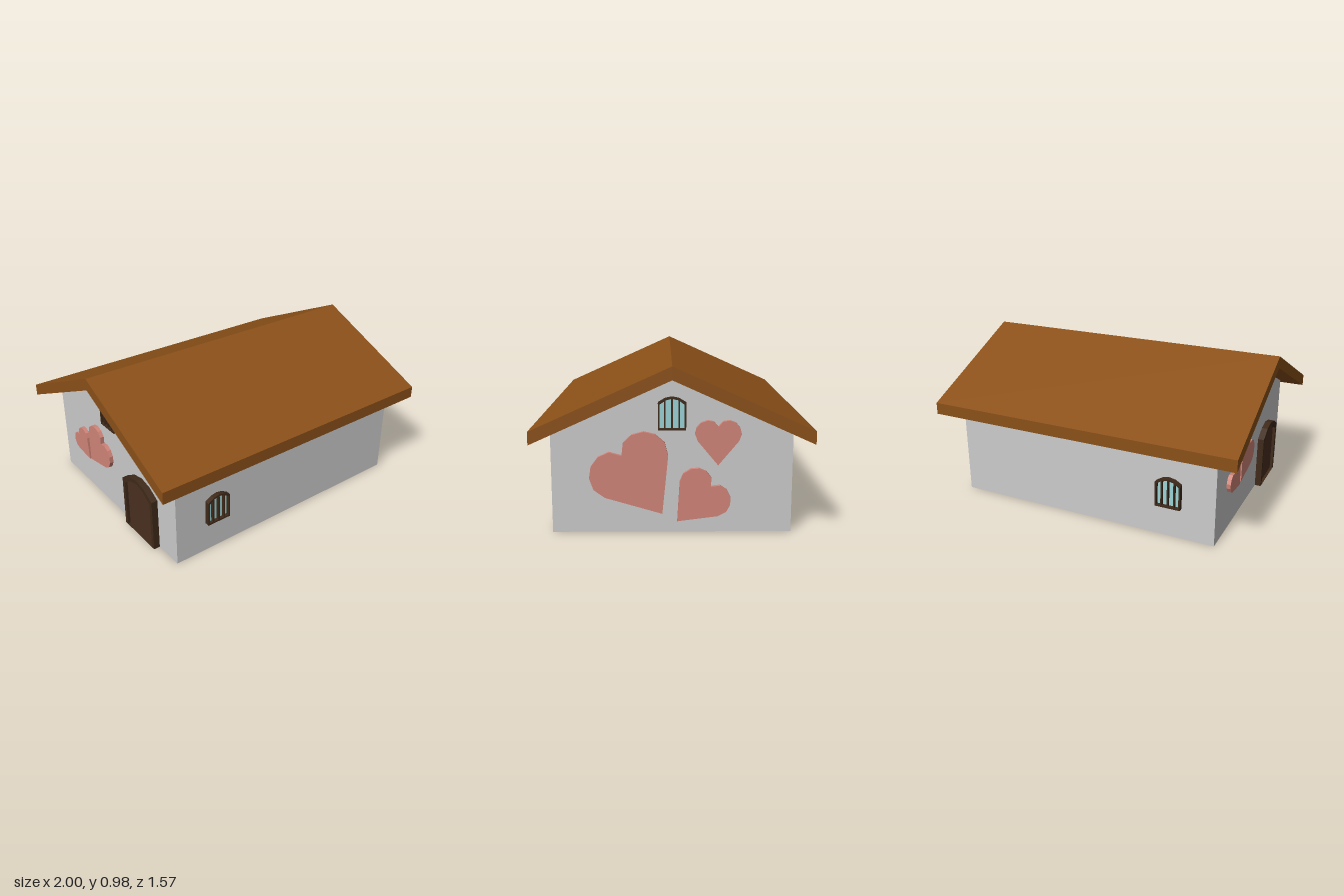
import * as THREE from 'three';

const mat = (color, extra = {}) => new THREE.MeshStandardMaterial({ color, ...extra });
const wallMat = mat(0xcccccc);
const roofMat = mat(0x8b5018);
const woodMat = mat(0x3f2a1a);
const doorMat = mat(0x4a3020);
const glassMat = mat(0x9cd4d6);
const heartMat = mat(0xd08478);

function named(name, geometry, material) {
  const mesh = new THREE.Mesh(geometry, material);
  mesh.name = name;
  return mesh;
}

const polygon = (points) => new THREE.Shape(points.map(([x, y]) => new THREE.Vector2(x, y)));

const slab = (shape, depth) => new THREE.ExtrudeGeometry(shape, { depth, bevelEnabled: false });

// Cross-section drawn across z, run along the whole length in x
function alongX(points, length) {
  return slab(polygon(points), length).translate(0, 0, -length / 2).rotateY(Math.PI / 2);
}

// Height of a shallow segmented arch at x
const archY = (x, w, spring, rise) => spring + rise * (1 - (2 * x / w) ** 2);

// Outline with straight sides and a shallow arched top, base at y = 0
function archPoints(w, h, rise, segments) {
  const points = [[-w / 2, 0], [w / 2, 0]];
  for (let i = 0; i <= segments; i++) {
    const x = w / 2 - (w * i) / segments;
    points.push([x, archY(x, w, h - rise, rise)]);
  }
  return points;
}

// Arched frame around a set-back panel, facing +z
function archedOpening({ name, w, h, rise, border, sill, depth, panelDepth, panelMat, bars }) {
  const group = new THREE.Group();
  group.name = name;
  const inner = archPoints(w - 2 * border, h - border - sill, rise, 4).map(([x, y]) => [x, y + sill]);
  const frame = polygon(archPoints(w, h, rise, 4));
  frame.holes.push(polygon(inner));
  group.add(named('frame', slab(frame, depth), woodMat));
  group.add(named('panel', slab(polygon(inner), panelDepth), panelMat));
  for (let i = 1; i <= bars; i++) {
    const x = -w / 2 + (w * i) / (bars + 1);
    const top = archY(x, w, h - rise, rise) - border / 2;
    const bar = named('bar', new THREE.BoxGeometry(0.009, top - sill / 2, depth * 0.9), woodMat);
    bar.position.set(x, (top + sill / 2) / 2, depth * 0.45);
    group.add(bar);
  }
  return group;
}

const makeWindow = () => archedOpening({
  name: 'window', w: 0.158, h: 0.188, rise: 0.032, border: 0.01, sill: 0.01,
  depth: 0.03, panelDepth: 0.008, panelMat: glassMat, bars: 3,
});

const makeDoor = () => archedOpening({
  name: 'door', w: 0.33, h: 0.405, rise: 0.065, border: 0.025, sill: 0.002,
  depth: 0.04, panelDepth: 0.022, panelMat: doorMat, bars: 0,
});

// Heart with its tip at the origin and its notch one unit above
const lobe = [[0.53, 0.64], [0.595, 0.82], [0.55, 0.99], [0.44, 1.11], [0.28, 1.167], [0.12, 1.14]];
const heartShape = polygon([
  [0, 0], ...lobe, [0, 1], ...lobe.map(([x, y]) => [-x, y]).reverse(),
]);

function makeHeart(size, degrees) {
  const heart = named('heart', slab(heartShape, 0.025), heartMat);
  heart.scale.set(size, size, 1);
  heart.rotation.z = THREE.MathUtils.degToRad(degrees);
  return heart;
}

// A wall holds its fittings in its own plane, facing outwards
function makeSide(name, angle, distance, fittings) {
  const side = new THREE.Group();
  side.name = name;
  for (const [part, x, y] of fittings) {
    part.position.set(x, y, distance);
    side.add(part);
  }
  side.rotation.y = angle;
  return side;
}

export function createModel() {
  const model = new THREE.Group();
  model.name = 'house';
  const halfX = 0.86, halfZ = 0.685;

  // Gabled walls and overhanging roof
  model.add(named('walls', alongX([
    [-halfZ, 0], [halfZ, 0], [halfZ, 0.59], [0, 0.9], [-halfZ, 0.59],
  ], halfX * 2), wallMat));
  model.add(named('roof', alongX([
    [-0.785, 0.545], [0, 0.9], [0.785, 0.545], [0.785, 0.62], [0, 0.975], [-0.785, 0.62],
  ], 2), roofMat));

  // Windows on the long walls
  model.add(makeSide('frontSide', 0, halfZ, [[makeWindow(), -0.575, 0.197]]));
  model.add(makeSide('backSide', Math.PI, halfZ, [[makeWindow(), 0.575, 0.197]]));

  // Gable with three hearts
  model.add(makeSide('heartGable', Math.PI / 2, halfX, [
    [makeWindow(), 0, 0.603],
    [makeHeart(0.41, 34), -0.055, 0.115],
    [makeHeart(0.22, 0), 0.26, 0.4],
    [makeHeart(0.28, -43), 0.03, 0.07],
  ]));

  // Gable with the door and two hearts
  model.add(makeSide('doorGable', -Math.PI / 2, halfX, [
    [makeWindow(), 0, 0.603],
    [makeDoor(), 0.33, 0],
    [makeHeart(0.25, -40), -0.28, 0.24],
    [makeHeart(0.18, 45), -0.3, 0.23],
  ]));

  return model;
}
